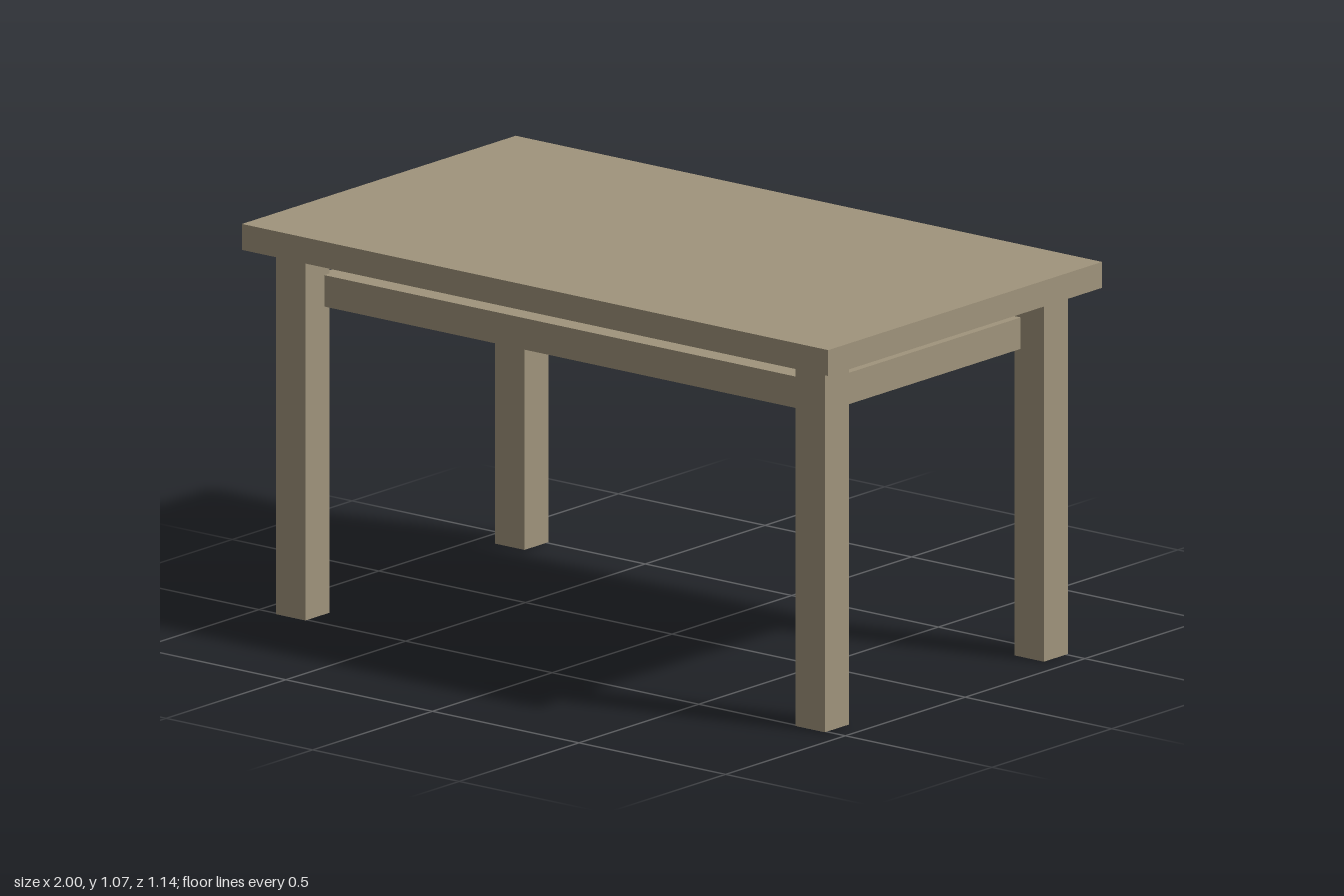
import * as THREE from 'three';

export function createModel() {
  const model = new THREE.Group();
  model.name = 'table';
  const wood = new THREE.MeshStandardMaterial({ color: 0xa0947c });
  wood.name = 'dull wood';

  // Box standing on height y
  const addBox = (name, w, h, d, x, y, z) => {
    const mesh = new THREE.Mesh(new THREE.BoxGeometry(w, h, d), wood);
    mesh.name = name;
    mesh.position.set(x, y + h / 2, z);
    model.add(mesh);
  };

  addBox('tabletop', 2, 0.071, 1.143, 0, 1, 0);

  // Solid shelf slab hung between the legs, just below the top
  addBox('apronSlab', 1.714, 0.086, 0.857, 0, 0.843, 0);

  // Four square legs
  for (const [side, sx] of [['Left', 1], ['Right', -1]]) {
    for (const [end, sz] of [['front', 1], ['back', -1]]) {
      addBox(`${end}${side}Leg`, 0.1, 1, 0.1, sx * 0.886, 0, sz * 0.457);
    }
  }
  return model;
}
